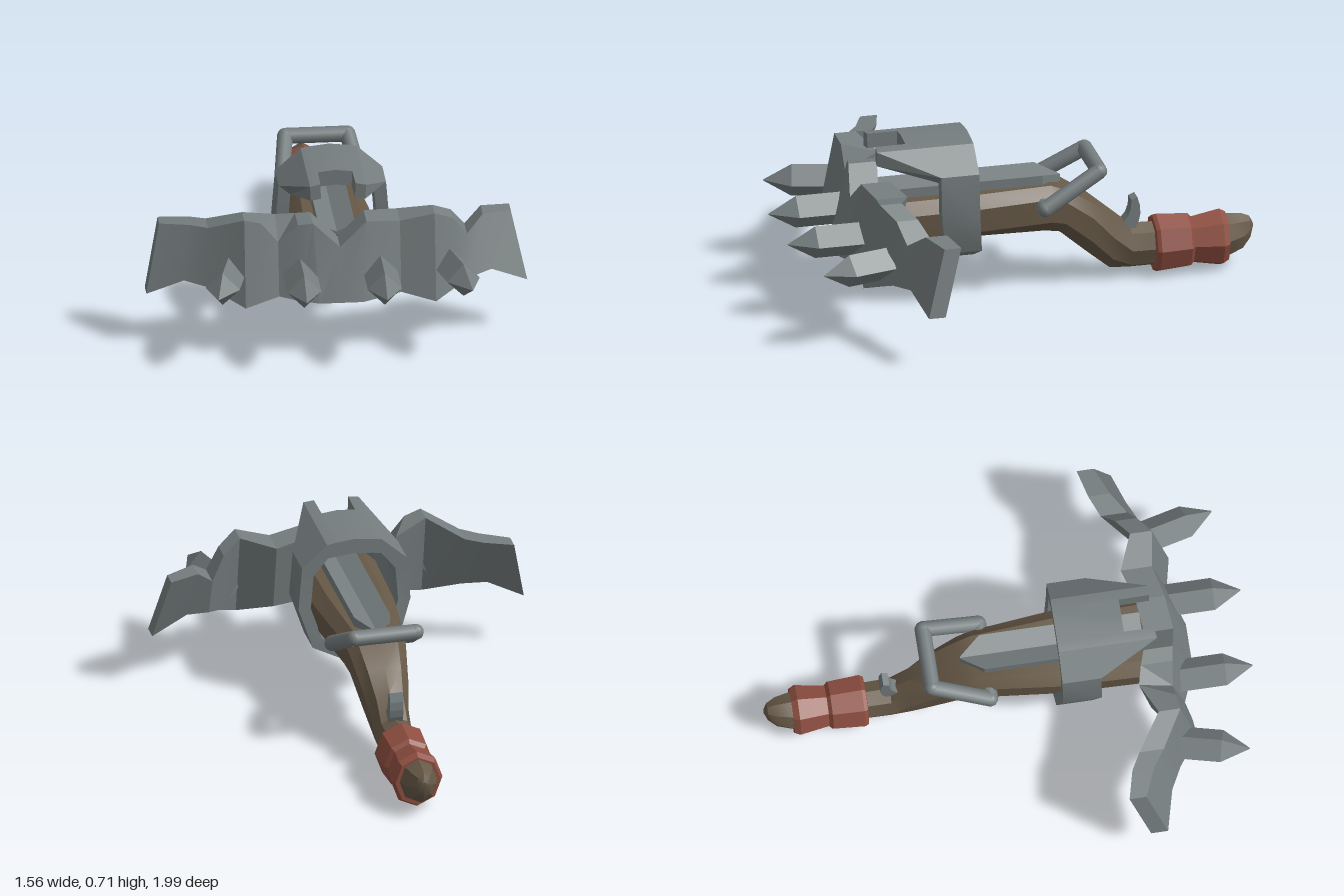
import * as THREE from 'three';
import { toCreasedNormals } from 'three/addons/utils/BufferGeometryUtils.js';

const mat = (name, color) => {
  const m = new THREE.MeshStandardMaterial({ color });
  m.name = name;
  return m;
};

// Skin a row of equal-sized cross-sections; capped at both ends unless closed
function loft(sections, { closed = false, crease = 0.3 } = {}) {
  const n = sections[0].length, count = sections.length;
  const index = [];
  for (let i = 0; i < (closed ? count : count - 1); i++) {
    const a = i * n, b = ((i + 1) % count) * n;
    for (let j = 0; j < n; j++) {
      const k = (j + 1) % n;
      index.push(a + j, b + j, b + k, a + j, b + k, a + k);
    }
  }
  if (!closed) {
    const e = (count - 1) * n;
    for (let j = 1; j < n - 1; j++) index.push(0, j, j + 1, e, e + j + 1, e + j);
  }
  // Turn the faces outward if the signed volume is negative
  const pts = sections.flat().map((p) => new THREE.Vector3(...p));
  let volume = 0;
  for (let i = 0; i < index.length; i += 3) {
    volume += pts[index[i]].dot(pts[index[i + 1]].clone().cross(pts[index[i + 2]]));
  }
  if (volume < 0) index.reverse();
  const g = new THREE.BufferGeometry().setFromPoints(pts);
  g.setIndex(index);
  return toCreasedNormals(g, crease);
}

export function createModel() {
  const group = new THREE.Group();
  const iron = mat('iron grey', 0x757d7e);
  const wood = mat('dark wood', 0x675947);
  const leather = mat('red leather', 0x8e4e40);
  const add = (name, geometry, material) => {
    const mesh = new THREE.Mesh(geometry, material);
    mesh.name = name;
    group.add(mesh);
    return mesh;
  };

  // Stock, grip and pommel in one skin: z, half width, top, bottom, roundness
  const profile = [[1, 0], [1, 0.7], [0.8, 1], [0.36, 0.95], [0, 0], [0.36, -0.95], [0.8, -1], [1, -0.7]];
  const stockRows = [
    [0.58, 0.175, 0.47, 0.245, 0], [0.2, 0.165, 0.47, 0.24, 0], [-0.13, 0.13, 0.47, 0.235, 0],
    [-0.19, 0.12, 0.445, 0.225, 0], [-0.31, 0.1, 0.375, 0.12, 0.2], [-0.4, 0.08, 0.305, 0.045, 0.6],
    [-0.48, 0.077, 0.235, 0.04, 1], [-0.6, 0.075, 0.23, 0.04, 1], [-0.89, 0.078, 0.235, 0.045, 1],
    [-0.95, 0.06, 0.23, 0.07, 1], [-0.985, 0.035, 0.215, 0.115, 1], [-1, 0.008, 0.185, 0.165, 1],
  ];
  add('stock', loft(stockRows.map(([z, w, top, bottom, round]) => profile.map(([v, u], j) => {
    const a = (j * Math.PI) / 4;
    const x = THREE.MathUtils.lerp(u, Math.sin(a), round);
    const y = THREE.MathUtils.lerp(v, (1 + Math.cos(a)) / 2, round);
    return [x * w, bottom + y * (top - bottom), z];
  })), { crease: 0.5 }), wood);

  // Grooved rail on top of the stock, tapering to a point at the back
  add('rail', loft([[0.56, 0.075, 0.51], [-0.1, 0.075, 0.51], [-0.19, 0.004, 0.48]].map(([z, w, y]) => [
    [-w, 0.45, z], [-w, y, z], [0, Math.min(y, 0.478), z], [w, y, z], [w, 0.45, z],
  ])), iron);

  // Bow blade: top x, bottom x, front top y, back top y, bottom y, front top z, back top z, front bottom z
  const bowRows = [
    [-0.72, -0.78, 0.505, 0.505, 0.23, 0.47, 0.4, 0.55], [-0.6, -0.63, 0.515, 0.515, 0.3, 0.52, 0.43, 0.59],
    [-0.53, -0.53, 0.52, 0.52, 0.285, 0.57, 0.47, 0.64], [-0.39, -0.39, 0.585, 0.585, 0.225, 0.66, 0.57, 0.73],
    [-0.32, -0.32, 0.565, 0.565, 0.245, 0.65, 0.54, 0.72], [-0.25, -0.25, 0.48, 0.545, 0.26, 0.65, 0.51, 0.7],
    [-0.17, -0.17, 0.555, 0.555, 0.25, 0.66, 0.53, 0.73], [-0.11, -0.09, 0.565, 0.565, 0.245, 0.67, 0.55, 0.755],
    [0, 0, 0.465, 0.465, 0.245, 0.69, 0.57, 0.755],
    [0.11, 0.09, 0.565, 0.565, 0.245, 0.67, 0.55, 0.755], [0.25, 0.25, 0.55, 0.55, 0.26, 0.64, 0.51, 0.7],
    [0.39, 0.39, 0.585, 0.585, 0.225, 0.66, 0.57, 0.73], [0.47, 0.47, 0.54, 0.54, 0.26, 0.61, 0.52, 0.68],
    [0.53, 0.53, 0.455, 0.455, 0.285, 0.58, 0.47, 0.64], [0.6, 0.63, 0.515, 0.515, 0.3, 0.52, 0.43, 0.59],
    [0.72, 0.78, 0.505, 0.505, 0.23, 0.47, 0.4, 0.55],
  ];
  add('bowBlade', loft(bowRows.map(([xt, xb, yf, yb, y0, zf, zb, z0]) => [
    [xt, yf, zf], [xt, yb, zb], [xb, y0, z0 - (zf - zb)], [xb, y0, z0],
  ])), iron);

  // Four diamond-section spikes, the outer pair splayed
  const spike = loft([[-0.22, 0.07], [0, 0.07], [0.115, 0.002]].map(([z, r]) => [
    [r, 0, z], [0, r, z], [-r, 0, z], [0, -r, z],
  ]));
  for (const side of [-1, 1]) {
    add('innerSpike', spike, iron).position.set(side * 0.165, 0.352, 0.877);
    const outer = add('outerSpike', spike, iron);
    outer.position.set(side * 0.493, 0.352, 0.815);
    outer.rotation.y = side * 0.24;
  }

  // Collar around the stock with a forked hood: x, y, back z, front z
  const collarHalf = [
    [0.07, 0.707, 0.2, 0.475], [0.072, 0.707, 0.2, 0.6], [0.115, 0.7, 0.2, 0.605],
    [0.22, 0.605, 0.2, 0.36], [0.235, 0.42, 0.2, 0.36], [0.18, 0.25, 0.18, 0.33],
  ];
  const collar = [
    [0, 0.715, 0.2, 0.475], ...collarHalf, [0, 0.16, 0.17, 0.31],
    ...collarHalf.map(([x, ...rest]) => [-x, ...rest]).reverse(),
  ];
  const inner = (x, y) => [x * (Math.abs(x) < 0.12 ? 0.97 : 0.78), 0.42 + (y - 0.42) * 0.78];
  add('collar', loft(collar.map(([x, y, zb, zf]) => {
    const [ix, iy] = inner(x, y);
    return [[x, y, zf], [x, y, zb], [ix, iy, zb], [ix, iy, zf]];
  }), { closed: true, crease: 0.4 }), iron);

  // Pull loop: round bars with ball joints
  const loop = new THREE.Group();
  loop.name = 'pullLoop';
  const path = [[-0.09, 0.4, -0.09], [-0.165, 0.4, -0.09], [-0.128, 0.53, -0.325],
    [0.128, 0.53, -0.325], [0.165, 0.4, -0.09], [0.09, 0.4, -0.09]].map((p) => new THREE.Vector3(...p));
  const up = new THREE.Vector3(0, 1, 0);
  for (let i = 0; i < path.length - 1; i++) {
    const d = path[i + 1].clone().sub(path[i]);
    const bar = new THREE.Mesh(new THREE.CylinderGeometry(0.033, 0.033, d.length(), 10), iron);
    bar.name = 'loopBar';
    bar.position.copy(path[i]).addScaledVector(d, 0.5);
    bar.quaternion.setFromUnitVectors(up, d.normalize());
    const joint = new THREE.Mesh(new THREE.SphereGeometry(0.033, 10, 8), iron);
    joint.name = 'loopJoint';
    joint.position.copy(path[i]);
    loop.add(bar, joint);
  }
  group.add(loop);

  // Curved thumb hook standing on the grip; drawn in (-z, y), then turned
  const hookShape = new THREE.Shape();
  hookShape.moveTo(0.42, 0.23);
  hookShape.quadraticCurveTo(0.49, 0.26, 0.485, 0.345);
  hookShape.lineTo(0.51, 0.355);
  hookShape.quadraticCurveTo(0.54, 0.28, 0.5, 0.215);
  hookShape.closePath();
  const hook = new THREE.ExtrudeGeometry(hookShape, { depth: 0.056, bevelEnabled: false, curveSegments: 4 });
  hook.translate(0, 0, -0.028);
  hook.rotateY(Math.PI / 2);
  add('thumbHook', hook, iron);

  // Two flared leather wraps on the grip: distance back, radius
  const wraps = [
    [[0.575, 0.07], [0.58, 0.118], [0.595, 0.127], [0.725, 0.117], [0.74, 0.1], [0.74, 0.07]],
    [[0.735, 0.07], [0.74, 0.1], [0.755, 0.103], [0.86, 0.123], [0.885, 0.108], [0.885, 0.07]],
  ];
  for (const rows of wraps) {
    add('leatherWrap', loft(rows.map(([d, r]) => Array.from({ length: 8 }, (_, j) => {
      const a = (j * Math.PI) / 4;
      return [Math.sin(a) * r * 0.88, 0.135 + Math.cos(a) * r, -d];
    })), { crease: 0.3 }), leather);
  }

  return group;
}
